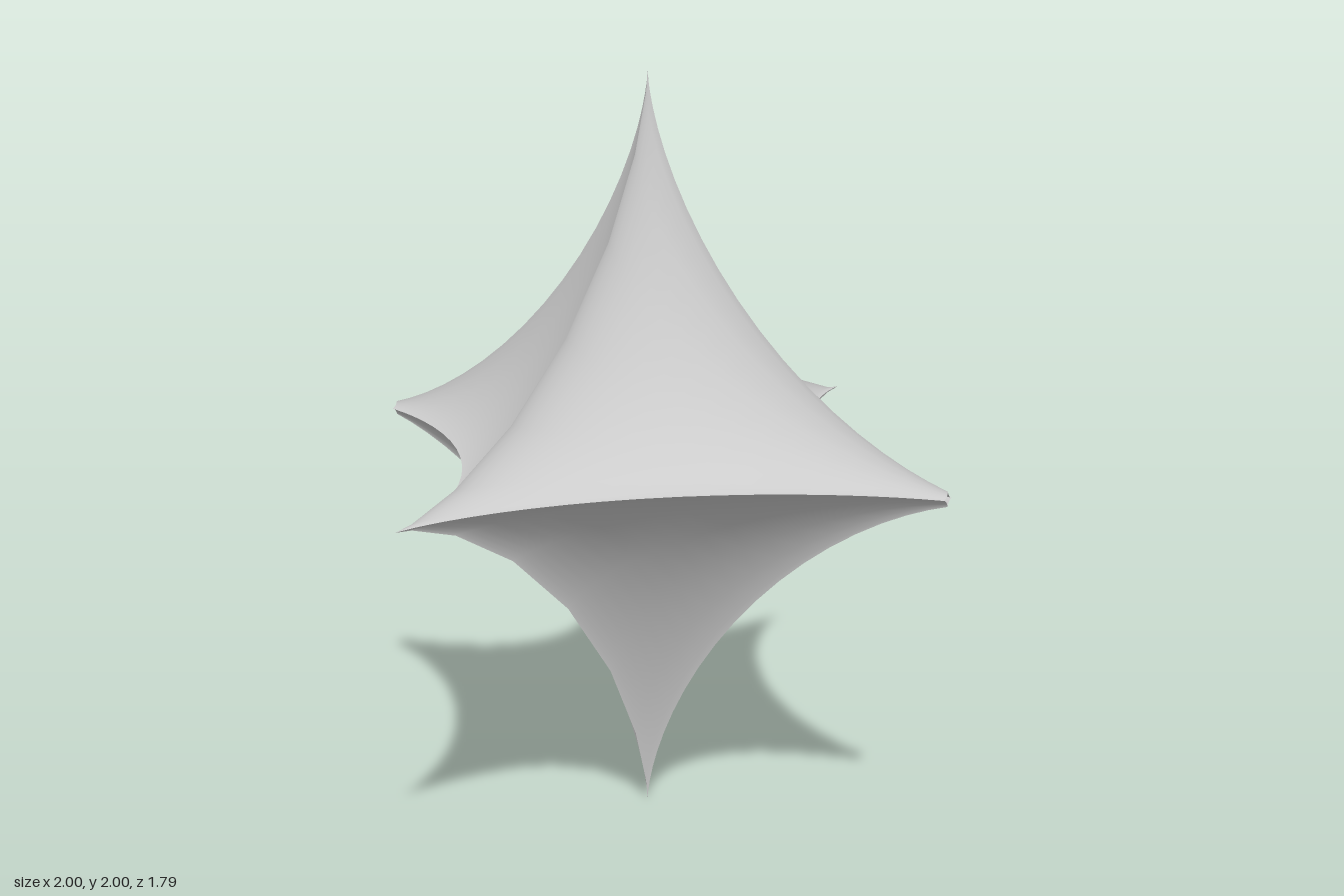
import * as THREE from 'three';

const U_STEPS = 8;    // coarse steps around the z axis, per quarter turn
const V_STEPS = 20;   // fine steps from the waist to a cut tip
const V_MAX = 1.3;    // stops short of the pole, leaving small open tips on z

const material = new THREE.MeshStandardMaterial({ color: 0xcccccc, side: THREE.DoubleSide });
const cube = (t) => t * t * t;

// One concave octant of an astroidal ellipsoid, mirrored by the three signs.
function octant(sx, sy, sz) {
  const positions = [];
  const index = [];
  for (let i = 0; i <= U_STEPS; i++) {
    const u = (i / U_STEPS) * Math.PI / 2;
    for (let j = 0; j <= V_STEPS; j++) {
      const v = (j / V_STEPS) * V_MAX;
      const waist = cube(Math.cos(v));
      positions.push(
        sx * cube(Math.cos(u)) * waist,
        sy * cube(Math.sin(u)) * waist,
        sz * cube(Math.sin(v))
      );
    }
  }
  const flip = sx * sy * sz < 0;
  for (let i = 0; i < U_STEPS; i++) {
    for (let j = 0; j < V_STEPS; j++) {
      const a = i * (V_STEPS + 1) + j;
      const b = a + V_STEPS + 1;
      if (flip) index.push(a, b + 1, b, a, a + 1, b + 1);
      else index.push(a, b, b + 1, a, b + 1, a + 1);
    }
  }
  const geometry = new THREE.BufferGeometry();
  geometry.setAttribute('position', new THREE.Float32BufferAttribute(positions, 3));
  geometry.setIndex(index);
  geometry.computeVertexNormals();
  return geometry;
}

export function createModel() {
  const model = new THREE.Group();
  model.name = 'sixPointedStar';

  // Separate octants keep the ridges between them sharp
  for (const sx of [1, -1]) {
    for (const sy of [1, -1]) {
      for (const sz of [1, -1]) {
        const face = new THREE.Mesh(octant(sx, sy, sz), material);
        face.name = (sy > 0 ? 'upper' : 'lower') + (sx > 0 ? 'Left' : 'Right') + (sz > 0 ? 'Front' : 'Back') + 'Face';
        face.position.y = 1;
        model.add(face);
      }
    }
  }
  return model;
}
